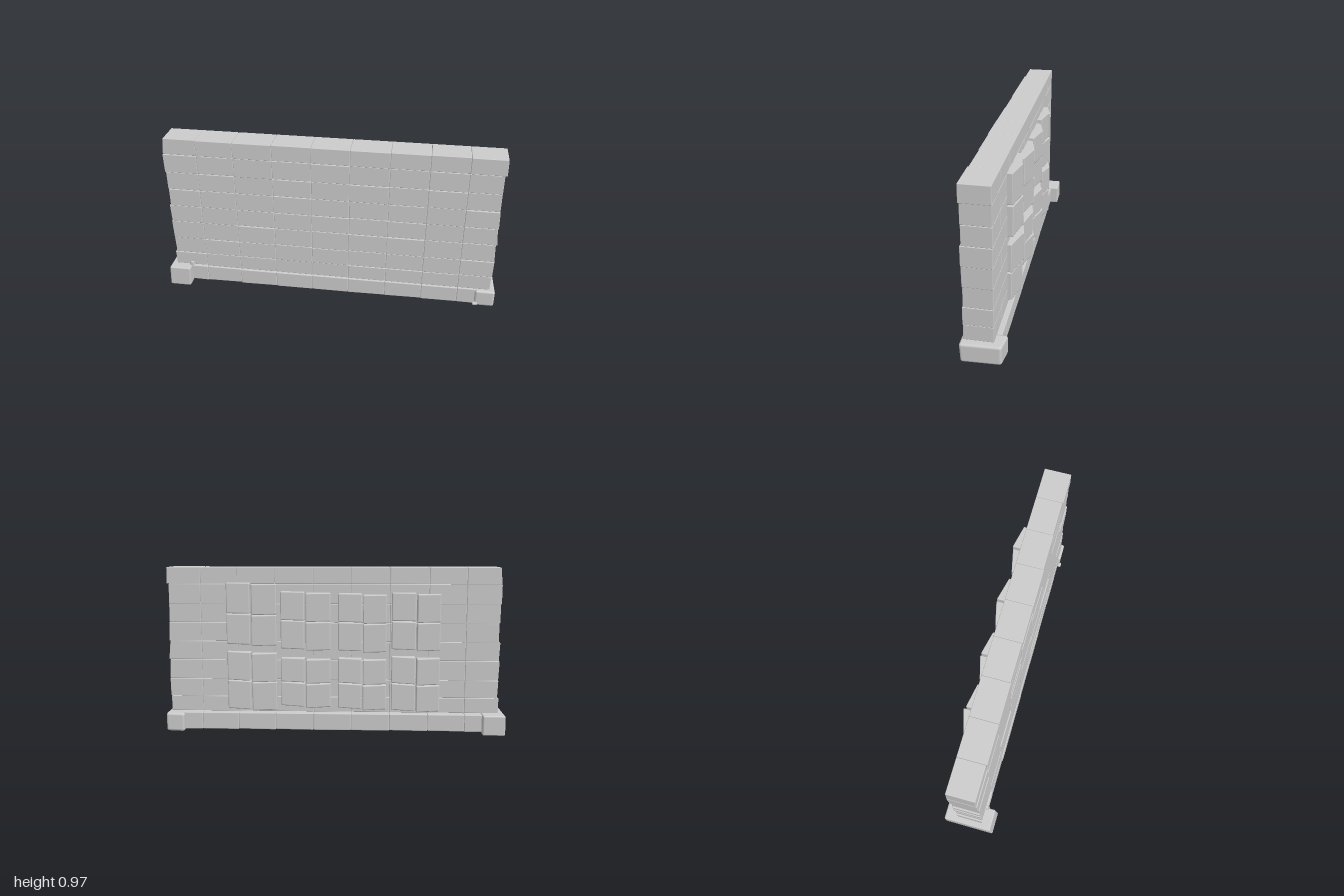
import * as THREE from 'three';
import { RoundedBoxGeometry } from 'three/addons/geometries/RoundedBoxGeometry.js';

const material = new THREE.MeshStandardMaterial({ color: 0xcccccc });

// small seeded noise in -1..1
let seed = 7;
const noise = () => {
  seed = (seed * 16807) % 2147483647;
  return (seed / 2147483647) * 2 - 1;
};

// Softly rounded stone between two corners; warp(u, v, w, p) moves its vertices,
// with u, v, w running from 0 to 1 across the stone.
function stone(name, [x0, y0, z0], [x1, y1, z1], radius, warp) {
  const w = x1 - x0, h = y1 - y0, d = z1 - z0;
  const geo = new RoundedBoxGeometry(w, h, d, 2, radius);
  const pos = geo.attributes.position;
  const p = new THREE.Vector3();
  for (let i = 0; i < pos.count; i++) {
    p.fromBufferAttribute(pos, i);
    const u = p.x / w + 0.5, v = p.y / h + 0.5, t = p.z / d + 0.5;
    p.add(new THREE.Vector3((x0 + x1) / 2, (y0 + y1) / 2, (z0 + z1) / 2));
    if (warp) warp(u, v, t, p);
    pos.setXYZ(i, p.x, p.y, p.z);
  }
  const mesh = new THREE.Mesh(geo, material);
  mesh.name = name;
  return mesh;
}

const lerp = THREE.MathUtils.lerp;
const columns = [-0.965, -0.77, -0.555, -0.33, -0.105, 0.115, 0.34, 0.56, 0.775, 0.968];
const courses = [0.12, 0.21, 0.315, 0.43, 0.54, 0.65, 0.76, 0.875, 0.972];

// Courses of long bricks, uneven on the front and at the wall ends
function buildWall() {
  const wall = new THREE.Group();
  wall.name = 'brickWall';
  for (let r = 0; r < 8; r++) {
    for (let c = 0; c < 9; c++) {
      const low = noise() * 0.004, high = noise() * 0.004;
      const endLow = noise() * 0.006, endHigh = noise() * 0.006;
      const warp = (u, v, t, p) => {
        p.z += t * lerp(low, high, v);
        if (c === 0) p.x += (1 - u) * lerp(endLow, endHigh, v);
        if (c === 8) p.x += u * lerp(endLow, endHigh, v);
      };
      wall.add(stone('brick',
        [columns[c] + 0.0005, courses[r] + 0.0005, -0.074],
        [columns[c + 1] - 0.0005, courses[r + 1] - 0.0005, 0.082], 0.003, warp));
    }
  }
  return wall;
}

// Plinth course with a heavier block at each end
function buildBase() {
  const base = new THREE.Group();
  base.name = 'base';
  const edges = [-0.875, ...columns.slice(1, 9), 0.885];
  for (let c = 0; c < 9; c++) {
    const lift = noise() * 0.004, push = noise() * 0.003;
    base.add(stone('plinthStone', [edges[c], 0.014, -0.1], [edges[c + 1], 0.115, 0.088], 0.005,
      (u, v, t, p) => {
        p.y += (1 - v) * lift * u;
        p.z += t * push;
      }));
  }
  base.add(stone('rightEndBlock', [-1, 0.004, -0.148], [-0.87, 0.121, 0.15], 0.008,
    (u, v, t, p) => { p.z -= t * v * 0.016; }));
  base.add(stone('leftEndBlock', [0.88, 0.004, -0.13], [0.998, 0.113, 0.1], 0.014,
    (u, v, t, p) => {
      p.z += (1 - t) * u * 0.015;
      p.z -= (1 - v) * t * 0.006;
      p.x -= u * (1 - t) * 0.008;
    }));
  // chips of stone at the end blocks
  base.add(stone('chip', [-0.885, 0.1, 0.075], [-0.862, 0.142, 0.1], 0.006,
    (u, v, t, p) => { p.z -= v * 0.012; p.x += v * 0.006; }));
  base.add(stone('chip', [0.87, 0.012, 0.085], [0.9, 0.03, 0.108], 0.007));
  return base;
}

// Groups of four tilted slabs on the back, each group ridged along its middle
function buildBackSlabs() {
  const slabs = new THREE.Group();
  slabs.name = 'backSlabs';
  const groups = [
    { x: -0.48, half: 0.14, spans: [[0.14, 0.46], [0.5, 0.83]] },
    { x: -0.17, half: 0.14, spans: [[0.15, 0.45], [0.49, 0.825]] },
    { x: 0.16, half: 0.145, spans: [[0.16, 0.45], [0.5, 0.835]] },
    { x: 0.475, half: 0.145, spans: [[0.14, 0.484], [0.525, 0.885]] },
  ];
  for (const { x, half, spans } of groups) {
    for (const [y0, y1] of spans) {
      const mid = (y0 + y1) / 2;
      for (const side of [-1, 1]) {
        const shift = side < 0 ? -0.008 : 0;
        for (const [a, b] of [[y0, mid], [mid, y1]]) {
          const ridge = 0.132 + noise() * 0.007;
          const rim = 0.1 + noise() * 0.006;
          const twist = noise() * 0.006;
          const inner = x + side * 0.004, outer = x + side * half;
          slabs.add(stone('slab',
            [Math.min(inner, outer), a + shift + 0.002, -0.14],
            [Math.max(inner, outer), b + shift - 0.002, -0.065], 0.006,
            (u, v, t, p) => {
              const out = side > 0 ? u : 1 - u; // 0 at the ridge, 1 at the rim
              const depth = lerp(ridge, rim, out) + twist * (v - 0.5);
              p.z += (1 - t) * (0.14 - depth);
            }));
        }
      }
    }
  }
  return slabs;
}

export function createModel() {
  seed = 7;
  const model = new THREE.Group();
  model.name = 'stoneWall';
  model.add(buildWall(), buildBase(), buildBackSlabs());
  return model;
}
